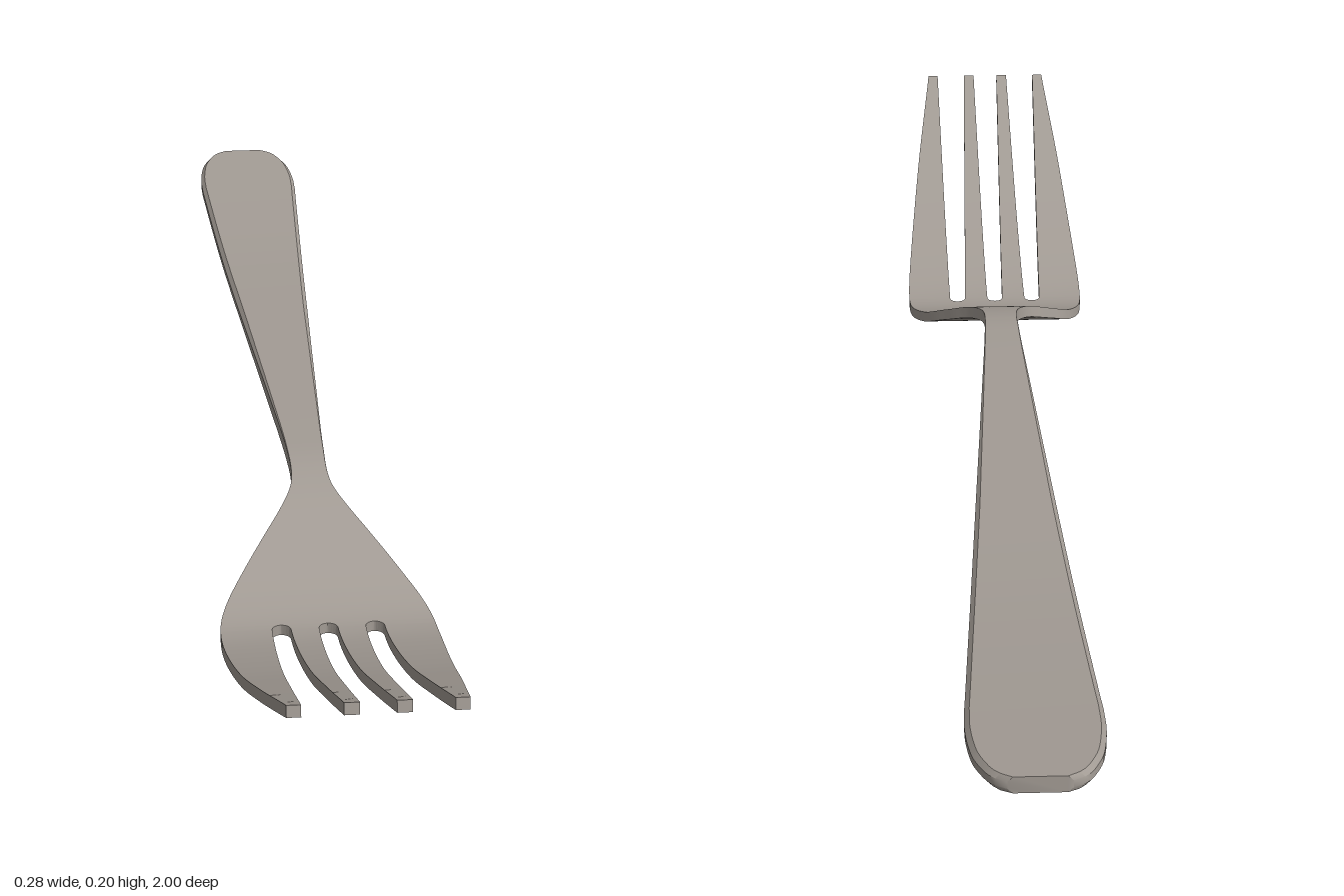
import * as THREE from 'three';
import { toCreasedNormals } from 'three/addons/utils/BufferGeometryUtils.js';

// Smooth cubic interpolation through [z, value] points
function smooth(p) {
  const slope = (i) => {
    const a = p[Math.max(i - 1, 0)], b = p[Math.min(i + 1, p.length - 1)];
    return (b[1] - a[1]) / (b[0] - a[0]);
  };
  return (z) => {
    let i = 0;
    while (i < p.length - 2 && z > p[i + 1][0]) i++;
    const h = p[i + 1][0] - p[i][0];
    const t = THREE.MathUtils.clamp((z - p[i][0]) / h, 0, 1), t2 = t * t, t3 = t2 * t;
    return p[i][1] * (2 * t3 - 3 * t2 + 1) + slope(i) * h * (t3 - 2 * t2 + t)
      + p[i + 1][1] * (3 * t2 - 2 * t3) + slope(i + 1) * h * (t3 - t2);
  };
}

// Side profile, plan half-width and thickness along z
const height = smooth([[-1, 0.151], [-0.8, 0.131], [-0.6, 0.116], [-0.45, 0.112], [-0.2, 0.112], [0.15, 0.112],
  [0.22, 0.107], [0.29, 0.088], [0.35, 0.056], [0.41, 0.024], [0.48, 0.008], [0.56, 0.02], [0.7, 0.066], [0.85, 0.13], [1, 0.197]]);
const halfWidth = smooth([[-1, 0.036], [-0.99, 0.052], [-0.97, 0.064], [-0.94, 0.074], [-0.88, 0.08], [-0.8, 0.077],
  [-0.4, 0.056], [0, 0.034], [0.18, 0.025], [0.25, 0.026], [0.29, 0.041], [0.34, 0.074], [0.4, 0.112],
  [0.45, 0.132], [0.5, 0.138], [0.6, 0.135], [0.8, 0.12], [1, 0.099]]);
const thickness = smooth([[-1, 0.021], [-0.2, 0.021], [0.15, 0.02], [0.4, 0.015], [1, 0.014]]);
const bevel = (z) => 0.006 * THREE.MathUtils.clamp((0.25 - z) / 0.6, 0, 1);

const SLOT_START = 0.48, SLOT_R = 0.012;

// Bar between two plan edges, following the side profile
function loft(zs, left, right, capStart, capEnd) {
  const pos = [], idx = [], n = 8;
  for (const z of zs) {
    const L = left(z), R = right(z), h = thickness(z) / 2, b = bevel(z);
    const a = Math.atan((height(z + 0.002) - height(z - 0.002)) / 0.004);
    const section = [[L + b, -h], [R - b, -h], [R, b - h], [R, h - b], [R - b, h], [L + b, h], [L, h - b], [L, b - h]];
    for (const [x, o] of section) pos.push(x, height(z) + o * Math.cos(a), z - o * Math.sin(a));
  }
  for (let i = 0; i < zs.length - 1; i++) {
    for (let j = 0; j < n; j++) {
      const a = i * n + j, b = i * n + (j + 1) % n;
      idx.push(a, b, b + n, a, b + n, a + n);
    }
  }
  const last = (zs.length - 1) * n;
  for (let j = 1; j < n - 1; j++) {
    if (capStart) idx.push(0, j + 1, j);
    if (capEnd) idx.push(last, last + j, last + j + 1);
  }
  const g = new THREE.BufferGeometry();
  g.setAttribute('position', new THREE.Float32BufferAttribute(pos, 3));
  g.setIndex(idx);
  return toCreasedNormals(g, 0.6);
}

// Evenly spaced stations, end excluded
const range = (a, b, n) => Array.from({ length: n }, (_, i) => a + (b - a) * i / n);

export function createModel() {
  const group = new THREE.Group();
  const steel = new THREE.MeshStandardMaterial({ color: 0xa39c95 });
  const add = (name, geometry) => {
    const mesh = new THREE.Mesh(geometry, steel);
    mesh.name = name;
    group.add(mesh);
  };

  // Handle, neck and solid part of the head in one sweep
  const bodyZ = [...range(-1, -0.88, 16), ...range(-0.88, 0.15, 30), ...range(0.15, SLOT_START, 40), SLOT_START];
  add('handleAndHead', loft(bodyZ, (z) => -halfWidth(z), halfWidth, true, false));

  // Slots open with a round end, then widen towards the tips
  const slotHalf = (z, tip) => {
    const d = z - SLOT_START;
    if (d < SLOT_R) return Math.sqrt(Math.max(0, SLOT_R ** 2 - (SLOT_R - d) ** 2));
    return SLOT_R + (tip - SLOT_R) * (d - SLOT_R) / (1 - SLOT_START - SLOT_R);
  };
  const middleSlot = (z) => slotHalf(z, 0.02);
  const sideSlotInner = (z) => 0.06 - slotHalf(z, 0.023);
  const sideSlotOuter = (z) => 0.06 + slotHalf(z, 0.023);

  // Four tines, mirrored in pairs
  const tineZ = [...range(0, Math.PI / 2, 8).map((t) => SLOT_START + SLOT_R * (1 - Math.cos(t))),
    ...range(SLOT_START + SLOT_R, 1, 28), 1];
  for (const [name, inner, outer] of [['InnerTine', middleSlot, sideSlotInner], ['OuterTine', sideSlotOuter, halfWidth]]) {
    add('left' + name, loft(tineZ, inner, outer, false, true));
    add('right' + name, loft(tineZ, (z) => -outer(z), (z) => -inner(z), false, true));
  }
  return group;
}
